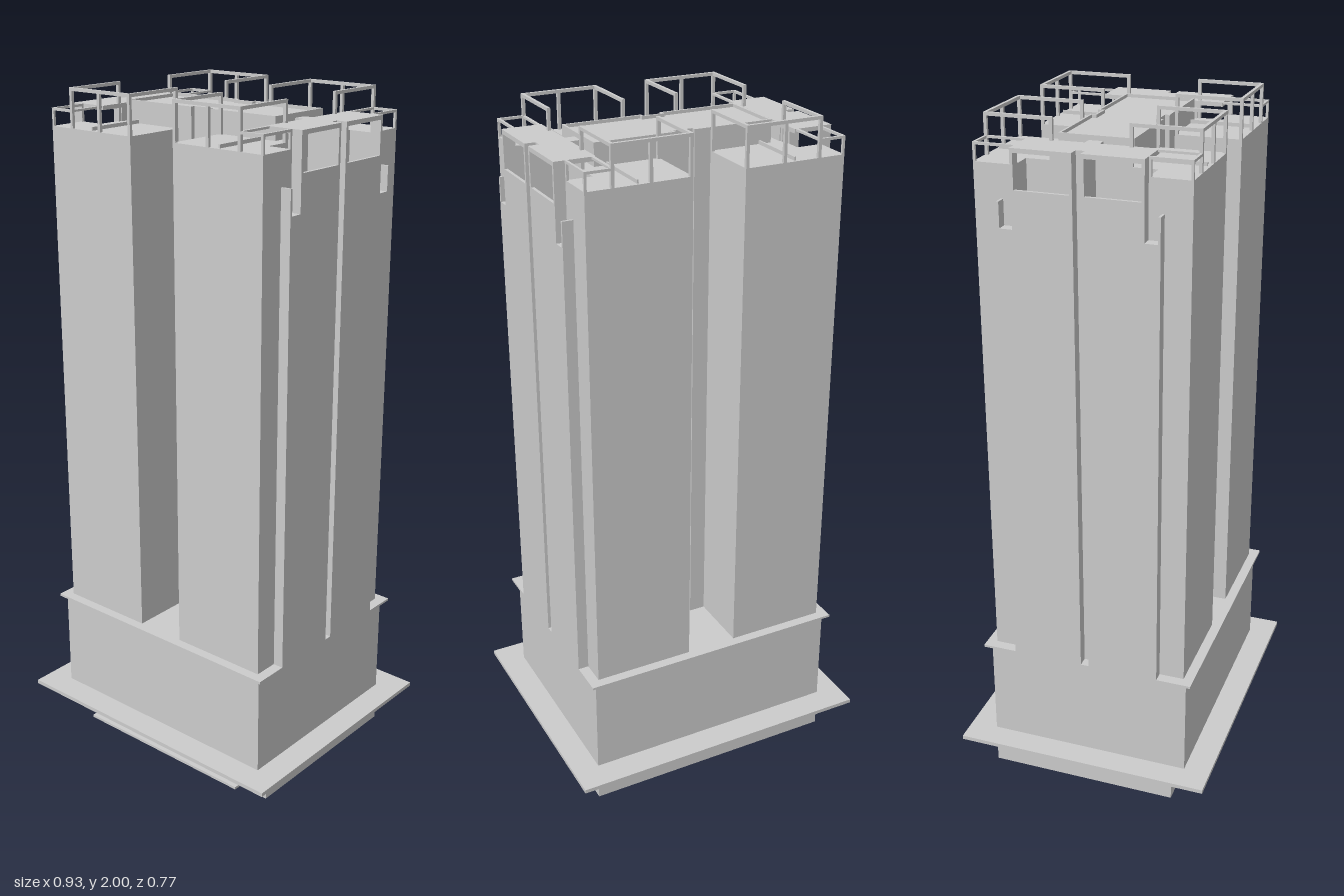
import * as THREE from 'three';

const mat = new THREE.MeshStandardMaterial({ color: 0xcccccc, flatShading: true });

// box from its min and max on each axis (any order)
function block(parent, name, x0, x1, y0, y1, z0, z1) {
  const g = new THREE.BoxGeometry(Math.abs(x1 - x0), Math.abs(y1 - y0), Math.abs(z1 - z0));
  g.translate((x0 + x1) / 2, (y0 + y1) / 2, (z0 + z1) / 2);
  const m = new THREE.Mesh(g, mat);
  m.name = name;
  parent.add(m);
}

// plan outline of [x, z] points, optionally with a hole, raised from y0 to y1
function raise(parent, name, outline, y0, y1, hole) {
  // reversed so that the outline runs counter-clockwise and the hole walls face inward
  const pts = (a) => a.map(([x, z]) => new THREE.Vector2(x, -z)).reverse();
  const shape = new THREE.Shape(pts(outline));
  if (hole) shape.holes.push(new THREE.Path(pts(hole)));
  const g = new THREE.ExtrudeGeometry(shape, { depth: y1 - y0, bevelEnabled: false });
  g.rotateX(-Math.PI / 2).translate(0, y0, 0);
  const m = new THREE.Mesh(g, mat);
  m.name = name;
  parent.add(m);
}

const rect = (x0, x1, z0, z1) => [[x0, z0], [x1, z0], [x1, z1], [x0, z1]];

// ground floor plan with the recessed entrance, shrunk inward by t
const groundPlan = (t) => [
  [-0.39 + t, -0.302 + t], [0.387 - t, -0.302 + t], [0.387 - t, 0.265 - t], [0.29 + t, 0.265 - t],
  [0.29 + t, 0.14 - t], [-0.31 - t, 0.14 - t], [-0.31 - t, 0.265 - t], [-0.39 + t, 0.265 - t],
];

// core plan with a shallow notch front and back, shrunk inward by t
function corePlan(t) {
  const x = 0.262 - t, z = 0.103 - t, n = 0.028 + t, d = 0.09 - t;
  const front = [[x, z], [n, z], [n, d], [-n, d], [-n, z], [-x, z]];
  return [...front, ...front.map(([a, b]) => [-a, -b])];
}

function buildPodium(parent) {
  const g = new THREE.Group();
  g.name = 'podium';
  raise(g, 'groundFloorWalls', groundPlan(0), 0, 0.11, groundPlan(0.005));
  block(g, 'entranceStep', -0.31, 0.29, 0, 0.008, 0.21, 0.29);
  raise(g, 'canopy', rect(-0.465, 0.465, -0.383, 0.383), 0.109, 0.121, rect(-0.384, 0.381, -0.296, 0.299));
  raise(g, 'podiumWalls', rect(-0.39, 0.387, -0.302, 0.305), 0.121, 0.424, rect(-0.384, 0.381, -0.296, 0.299));
  block(g, 'podiumRoof', -0.405, 0.405, 0.424, 0.431, -0.322, 0.322);
  parent.add(g);
}

// one quarter of the tower; sx and sz choose the corner
function buildWing(parent, sx, sz) {
  const g = new THREE.Group();
  g.name = 'cornerWing';
  const b = (name, x0, x1, y0, y1, z0, z1) => block(g, name, sx * x0, sx * x1, y0, y1, sz * z0, sz * z1);
  const base = 0.431, roof = 1.89, r = 0.009;

  // shafts, with a groove between the two side bays and a notch beside each
  b('wingShaft', 0.076, 0.3, base, roof, 0, 0.293);
  b('wingCornerShaft', 0.3, 0.374, base, roof, 0.178, 0.293);
  b('wingSideShaft', 0.3, 0.374, base, 1.75, 0, 0.178);
  b('sideBay', 0.374, 0.405, base, 1.75, 0.012, 0.178);
  b('sideBayEdge', 0.374, 0.405, base, 1.73, 0.178, 0.213);
  b('sideBayFin', 0.374, 0.405, base, 1.8, 0.213, 0.22);
  b('grooveWall', 0.26, 0.374, 1.75, 1.94, 0, 0.012);
  b('grooveWallEnd', 0.26, 0.29, roof, 1.94, 0.012, 0.02);
  b('roofCurb', 0.224, 0.229, roof, roof + 0.01, 0.103, 0.285);

  // open loggia under a small roof
  b('loggiaRoof', 0.29, 0.405, 1.928, 1.94, 0.012, 0.178);
  b('loggiaBackWall', 0.29, 0.3, roof, 1.928, 0.012, 0.103);
  b('loggiaParapet', 0.396, 0.405, 1.75, 1.833, 0.02, 0.17);
  b('loggiaInnerWall', 0.374, 0.405, 1.75, 1.928, 0.012, 0.02);
  b('loggiaOuterWall', 0.374, 0.405, 1.73, 1.928, 0.17, 0.178);

  // tall roof frame: three sides, open towards the core
  const top = 1.991;
  b('tallFrameFrontRail', 0.076, 0.302, top, top + r, 0.293 - r, 0.293);
  b('tallFrameInnerRail', 0.076, 0.076 + r, top, top + r, 0.103, 0.293);
  b('tallFrameOuterRail', 0.302 - r, 0.302, top, top + r, 0.103, 0.293);
  b('tallFrameMiddleRail', 0.302 - r, 0.302, 1.934, 1.94, 0.103, 0.293);
  const posts = [[0.076, 0.284], [0.188, 0.284], [0.293, 0.284], [0.076, 0.103], [0.293, 0.103]];
  for (const [x, z] of posts) b('tallFramePost', x, x + r, roof, 1.995, z, z + r);

  // low railing at the outer corner
  b('lowRailFront', 0.302, 0.374, 1.933, 1.94, 0.286, 0.293);
  b('lowRailSide', 0.367, 0.374, 1.933, 1.94, 0.178, 0.293);
  for (const z of [0.286, 0.178]) b('lowRailPost', 0.367, 0.374, roof, 1.935, z, z + 0.007);
  parent.add(g);
}

export function createModel() {
  const model = new THREE.Group();
  model.name = 'towerBlock';
  buildPodium(model);

  // central core with a thin parapet
  raise(model, 'core', corePlan(0), 0.431, 1.944);
  raise(model, 'coreParapet', corePlan(0), 1.944, 1.953, corePlan(0.006));

  for (const sx of [-1, 1]) for (const sz of [-1, 1]) buildWing(model, sx, sz);
  return model;
}
